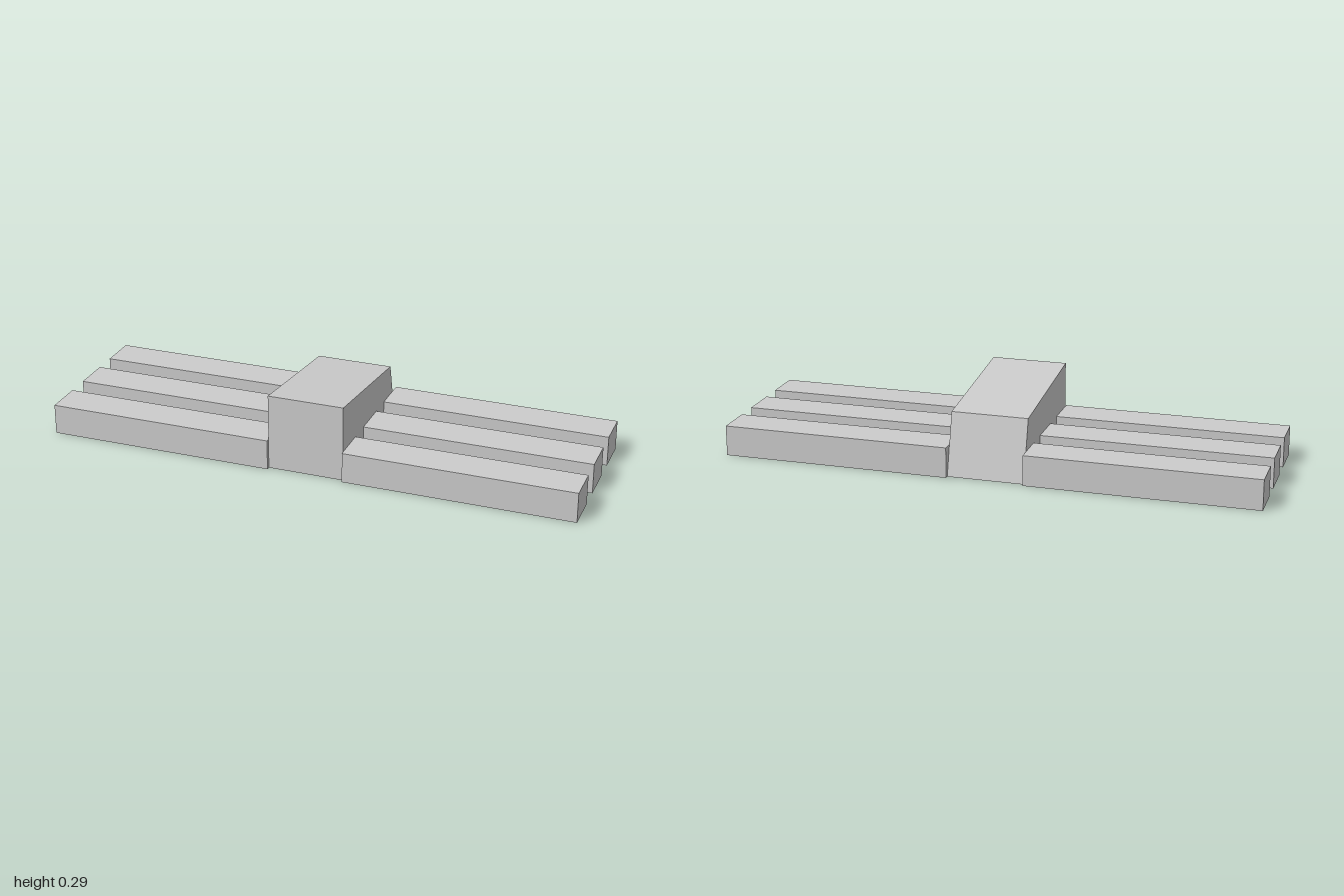
import * as THREE from 'three';

const material = new THREE.MeshStandardMaterial({ color: 0xcccccc, flatShading: true });

// Central body: side profile in (z, y), extruded across x
function createBody(halfWidth) {
  const profile = new THREE.Shape([
    [-0.286, 0], [0.286, 0], [0.286, 0.286], [-0.229, 0.229],
  ].map(([z, y]) => new THREE.Vector2(z, y)));
  const geometry = new THREE.ExtrudeGeometry(profile, { depth: halfWidth * 2, bevelEnabled: false });
  geometry.translate(0, 0, -halfWidth).rotateY(-Math.PI / 2);
  const body = new THREE.Mesh(geometry, material);
  body.name = 'body';
  return body;
}

export function createModel() {
  const model = new THREE.Group();
  model.name = 'model';

  const halfWidth = 0.143;
  model.add(createBody(halfWidth));

  // Three parallel bars reaching out from each side of the body
  const length = 1 - halfWidth, height = 0.114, depth = 0.143;
  const barGeometry = new THREE.BoxGeometry(length, height, depth);
  const rows = { front: 0.2285, middle: 0, back: -0.2285 };
  for (const [side, sign] of [['Left', 1], ['Right', -1]]) {
    for (const [row, z] of Object.entries(rows)) {
      const bar = new THREE.Mesh(barGeometry, material);
      bar.name = `${row}${side}Bar`;
      bar.position.set(sign * (halfWidth + length / 2), height / 2, z);
      model.add(bar);
    }
  }
  return model;
}
